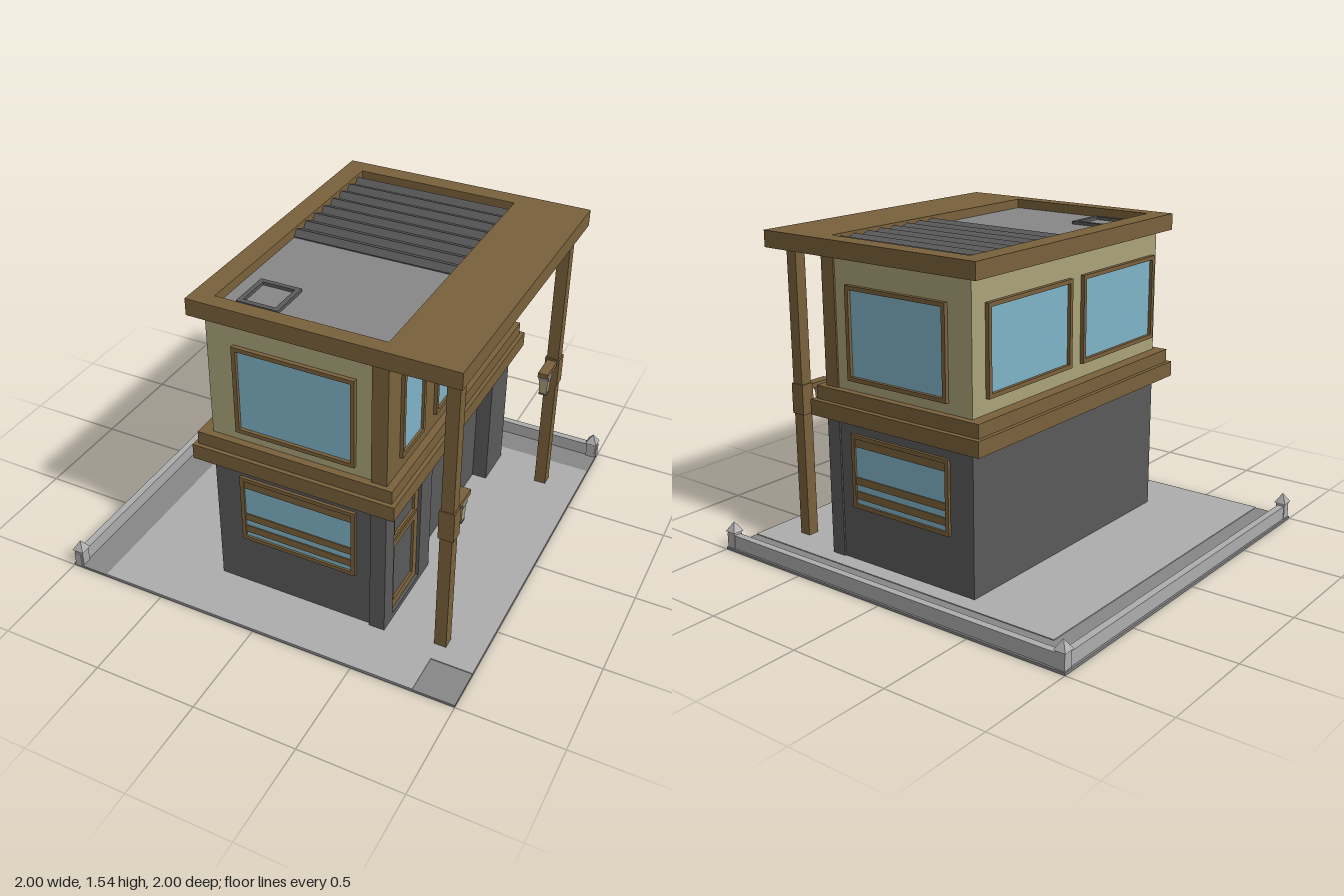
import * as THREE from 'three';

const mat = (name, color) => Object.assign(new THREE.MeshStandardMaterial({ color }), { name });

export function createModel() {
  const brown = mat('brown wood', 0x7a613c);
  const dark = mat('dark stone', 0x5a5a5a);
  const cream = mat('cream plaster', 0xaaa37a);
  const glass = mat('blue glass', 0x80b4c8);
  const light = mat('light concrete', 0xadadad);
  const mid = mat('grey concrete', 0x878787);
  const model = new THREE.Group();
  model.name = 'twoStoreyHouse';

  const add = (parent, name, geometry, material, x = 0, y = 0, z = 0) => {
    const m = new THREE.Mesh(geometry, material);
    m.name = name;
    m.position.set(x, y, z);
    parent.add(m);
    return m;
  };
  // Box given by its limits on each axis
  const box = (parent, name, material, x0, x1, y0, y1, z0, z1) =>
    add(parent, name, new THREE.BoxGeometry(x1 - x0, y1 - y0, z1 - z0), material,
      (x0 + x1) / 2, (y0 + y1) / 2, (z0 + z1) / 2);
  const poly = (pts) => new THREE.Shape(pts.map(([x, y]) => new THREE.Vector2(x, y)));
  const rect = (x0, x1, y0, y1) => poly([[x0, y0], [x1, y0], [x1, y1], [x0, y1]]);
  const extrude = (shape, depth, ...holes) => {
    shape.holes.push(...holes);
    return new THREE.ExtrudeGeometry(shape, { depth, bevelEnabled: false });
  };
  // Group whose local +z looks out of a wall
  const facing = (name, angle, x, z) => {
    const g = new THREE.Group();
    g.name = name;
    g.rotation.y = angle;
    g.position.set(x, 0, z);
    model.add(g);
    return g;
  };
  // Framed pane on a wall, in wall coordinates
  const addWindow = (wall, x0, x1, y0, y1, out = 0.016, t = 0.02) => {
    add(wall, 'windowFrame', extrude(rect(x0, x1, y0, y1), out, rect(x0 + t, x1 - t, y0 + t, y1 - t)), brown);
    box(wall, 'windowPane', glass, x0 + t, x1 - t, y0 + t, y1 - t, 0, 0.004);
  };

  // Ground slab and raised paving with a notched corner
  box(model, 'groundSlab', mid, -1, 1, 0, 0.012, -1, 1);
  const paving = add(model, 'paving', extrude(
    poly([[-0.81, 0.81], [-0.81, -1], [0.8, -1], [0.8, -0.8], [1, -0.8], [1, 0.81]]), 0.004), light, 0, 0.012, 0);
  paving.rotation.x = -Math.PI / 2;

  // Low boundary walls and capped posts
  box(model, 'sideBoundaryWall', light, -0.99, -0.955, 0.01, 0.08, -0.96, 1);
  box(model, 'backBoundaryWall', light, -0.99, 1, 0.01, 0.08, -0.99, -0.955);
  for (const [x, z] of [[-0.97, -0.97], [0.97, -0.97], [-0.97, 0.97]]) {
    box(model, 'boundaryPost', light, x - 0.023, x + 0.023, 0.005, 0.095, z - 0.023, z + 0.023);
    const cap = new THREE.ConeGeometry(0.03 * Math.SQRT2, 0.048, 4, 1).rotateY(Math.PI / 4).toNonIndexed();
    cap.computeVertexNormals();
    add(model, 'postCap', cap, light, x, 0.118, z);
  }

  // Storeys and the ledges between them
  box(model, 'lowerStorey', dark, -0.32, 0.465, 0.015, 0.71, -0.725, 0.725);
  box(model, 'upperStorey', cream, -0.32, 0.465, 0.85, 1.46, -0.725, 0.725);
  box(model, 'upperSidePanel', brown, 0.465, 0.54, 0.85, 1.46, -0.733, 0.737);
  box(model, 'lowerLedge', brown, -0.4, 0.595, 0.71, 0.785, -0.785, 0.78);
  box(model, 'upperLedge', brown, -0.38, 0.575, 0.785, 0.85, -0.76, 0.76);

  // Side wall with a doorway and a wide recessed bay
  const lowerSide = facing('lowerSide', Math.PI / 2, 0.465, 0);
  add(lowerSide, 'sideWall', extrude(
    poly([[-0.737, 0.015], [-0.24, 0.015], [-0.24, 0.635], [0.51, 0.635], [0.51, 0.015],
      [0.733, 0.015], [0.733, 0.71], [-0.737, 0.71]]), 0.075, rect(-0.65, -0.36, 0.045, 0.635)), dark);
  add(lowerSide, 'doorLower', extrude(rect(-0.65, -0.36, 0.045, 0.44), 0.06, rect(-0.61, -0.4, 0.09, 0.41)), brown);
  add(lowerSide, 'doorUpper', extrude(rect(-0.65, -0.36, 0.455, 0.635), 0.06, rect(-0.61, -0.4, 0.475, 0.615)), brown);
  box(lowerSide, 'doorPanel', dark, -0.65, -0.36, 0.045, 0.635, 0, 0.048);

  // Front and back windows
  for (const s of [1, -1]) {
    const wall = facing(s > 0 ? 'frontWindows' : 'backWindows', s > 0 ? 0 : Math.PI, 0, s * 0.725);
    const [x0, x1] = s > 0 ? [-0.19, 0.39] : [-0.39, 0.19];
    addWindow(wall, x0, x1, 0.9, 1.34, 0.02);
    addWindow(wall, x0, x1, 0.285, 0.645, 0.014);
    for (const [y0, y1] of [[0.33, 0.368], [0.4, 0.437], [0.585, 0.625]])
      box(wall, 'windowBar', brown, x0 + 0.02, x1 - 0.02, y0, y1, 0, 0.009);
  }

  // Upper side windows
  const leftWall = facing('panelWindows', Math.PI / 2, 0.54, 0);
  addWindow(leftWall, -0.615, -0.385, 0.92, 1.34);
  addWindow(leftWall, -0.26, 0.52, 0.92, 1.34);
  const rightWall = facing('plasterWindows', -Math.PI / 2, -0.32, 0);
  addWindow(rightWall, -0.635, -0.02, 0.92, 1.34, 0.02);
  addWindow(rightWall, 0.07, 0.685, 0.92, 1.34, 0.02);

  // Roof border around a sunken deck
  const border = add(model, 'roofBorder', extrude(
    rect(-0.38, 0.865, -0.775, 0.77), 0.08, rect(-0.28, 0.52, -0.7, 0.68)), brown, 0, 1.46, 0);
  border.rotation.x = -Math.PI / 2;
  box(model, 'roofDeck', mid, -0.28, 0.52, 1.461, 1.495, -0.68, 0.7);

  // Sawtooth roof slats
  const teeth = [[-0.68, 1.48]];
  for (let i = 0; i < 8; i++) {
    const z = -0.625 + i * 0.089;
    teeth.push([z, 1.53], [z + 0.022, 1.5]);
  }
  teeth.push([0.02, 1.48]);
  const slats = add(model, 'roofSlats', extrude(poly(teeth), 0.8), dark, 0.52, 0, 0);
  slats.rotation.y = -Math.PI / 2;

  // Roof hatch
  const hatch = add(model, 'roofHatch', extrude(
    rect(-0.21, -0.01, -0.65, -0.44), 0.015, rect(-0.187, -0.033, -0.627, -0.463)), dark, 0, 1.495, 0);
  hatch.rotation.x = -Math.PI / 2;

  // Roof posts with collars, arms and hanging lamps
  for (const [z, lampZ, armEnd] of [[0.68, 0.57, 0.51], [-0.637, -0.513, -0.47]]) {
    const x = 0.805;
    box(model, 'roofPost', brown, x - 0.029, x + 0.029, 0.001, 1.461, z - 0.029, z + 0.029);
    box(model, 'postCollar', brown, x - 0.036, x + 0.036, 0.64, 0.79, z - 0.034, z + 0.034);
    box(model, 'lampArm', brown, x - 0.025, x + 0.025, 0.755, 0.78, Math.min(z, armEnd), Math.max(z, armEnd));
    box(model, 'lampCap', mid, x - 0.025, x + 0.025, 0.728, 0.756, lampZ - 0.025, lampZ + 0.025);
    const lamp = new THREE.CylinderGeometry(0.032, 0.026, 0.08, 4, 1).rotateY(Math.PI / 4).toNonIndexed();
    lamp.computeVertexNormals();
    add(model, 'lampGlass', lamp, cream, x, 0.69, lampZ);
    box(model, 'lampBase', dark, x - 0.02, x + 0.02, 0.643, 0.652, lampZ - 0.02, lampZ + 0.02);
  }
  return model;
}
